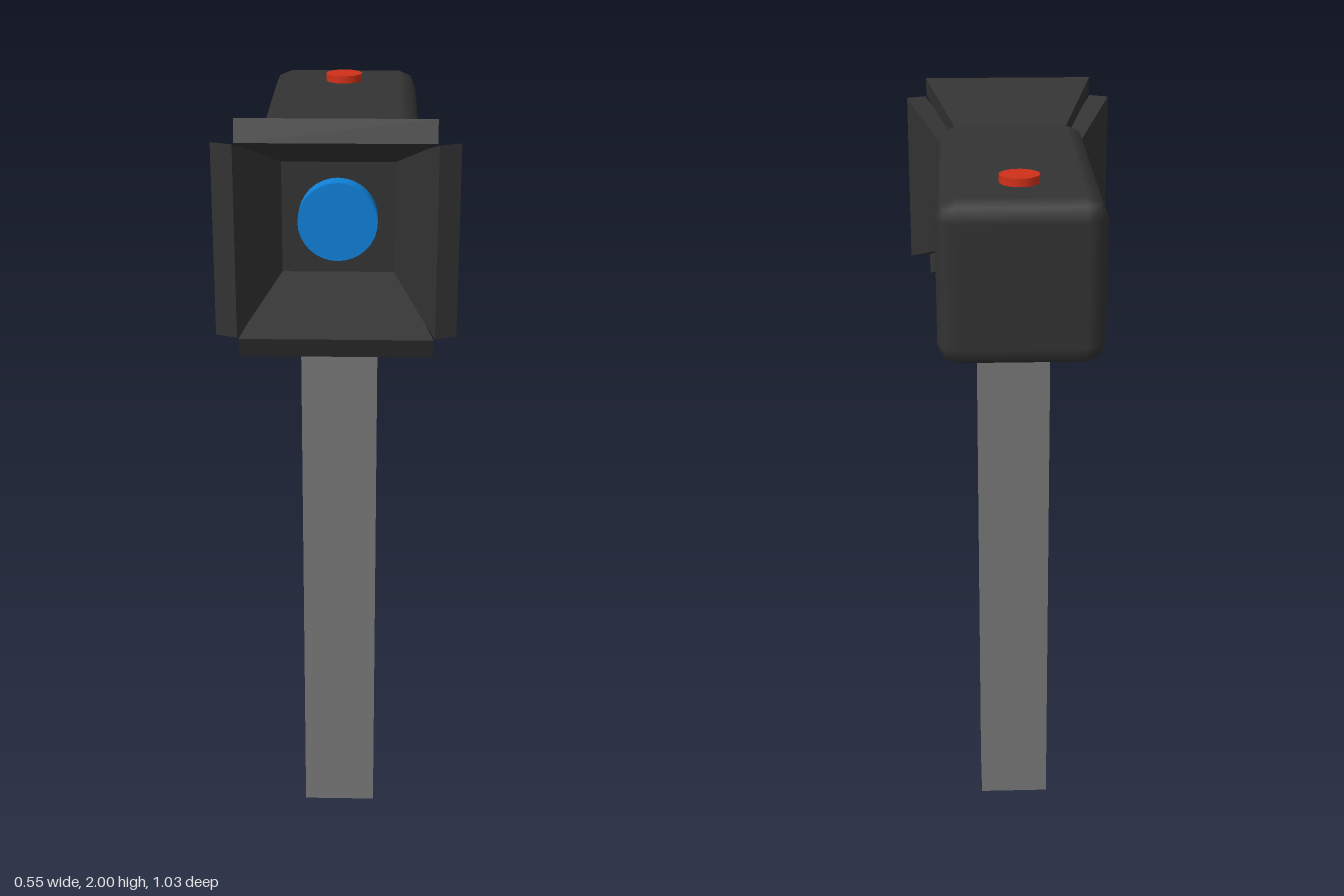
import * as THREE from 'three';
import { RoundedBoxGeometry } from 'three/addons/geometries/RoundedBoxGeometry.js';

const mat = (color) => new THREE.MeshStandardMaterial({ color });

function part(parent, name, geometry, material, x = 0, y = 0, z = 0) {
  const mesh = new THREE.Mesh(geometry, material);
  mesh.name = name;
  mesh.position.set(x, y, z);
  parent.add(mesh);
  return mesh;
}

// Tapered flap: front inner edge on the origin, running back along -z
function flapGeometry(frontHalf, backHalf, thickness, length) {
  const geo = new THREE.BoxGeometry(2, thickness, length);
  geo.translate(0, thickness / 2, -length / 2);
  const pos = geo.attributes.position;
  for (let i = 0; i < pos.count; i++) {
    const half = THREE.MathUtils.lerp(frontHalf, backHalf, -pos.getZ(i) / length);
    pos.setX(i, pos.getX(i) * half);
  }
  geo.computeVertexNormals();
  return geo;
}

export function createModel() {
  const model = new THREE.Group();
  model.name = 'cameraOnPost';
  const dark = mat(0x333333);
  const axisY = 1.727;

  // Square post
  part(model, 'post', new THREE.BoxGeometry(0.19, 1.56, 0.19), mat(0x777777), 0, 0.78, 0.11);

  // Long body with softened edges
  part(model, 'body', new RoundedBoxGeometry(0.384, 0.384, 0.82, 1, 0.047), dark, 0, axisY, -0.108);

  // Round lens inside the hood
  const lens = new THREE.CylinderGeometry(0.093, 0.093, 0.08, 32).rotateX(Math.PI / 2);
  part(model, 'lens', lens, mat(0x0f80d8), 0, axisY, 0.31);

  // Button on top, near the back
  part(model, 'button', new THREE.CylinderGeometry(0.047, 0.047, 0.04, 32), mat(0xd03018), 0, 1.918, -0.335);

  // Hood of four flaps splayed outward
  const hood = new THREE.Group();
  hood.name = 'hood';
  hood.position.y = 1.725;
  model.add(hood);
  const flap = flapGeometry(0.222, 0.14, 0.054, 0.24);
  ['topFlap', 'leftFlap', 'bottomFlap', 'rightFlap'].forEach((name, i) => {
    const holder = new THREE.Group();
    holder.name = name;
    holder.rotation.z = -i * Math.PI / 2;
    hood.add(holder);
    part(holder, name + 'Panel', flap, dark, 0, 0.225, 0.516).rotation.x = -0.41;
  });

  return model;
}
